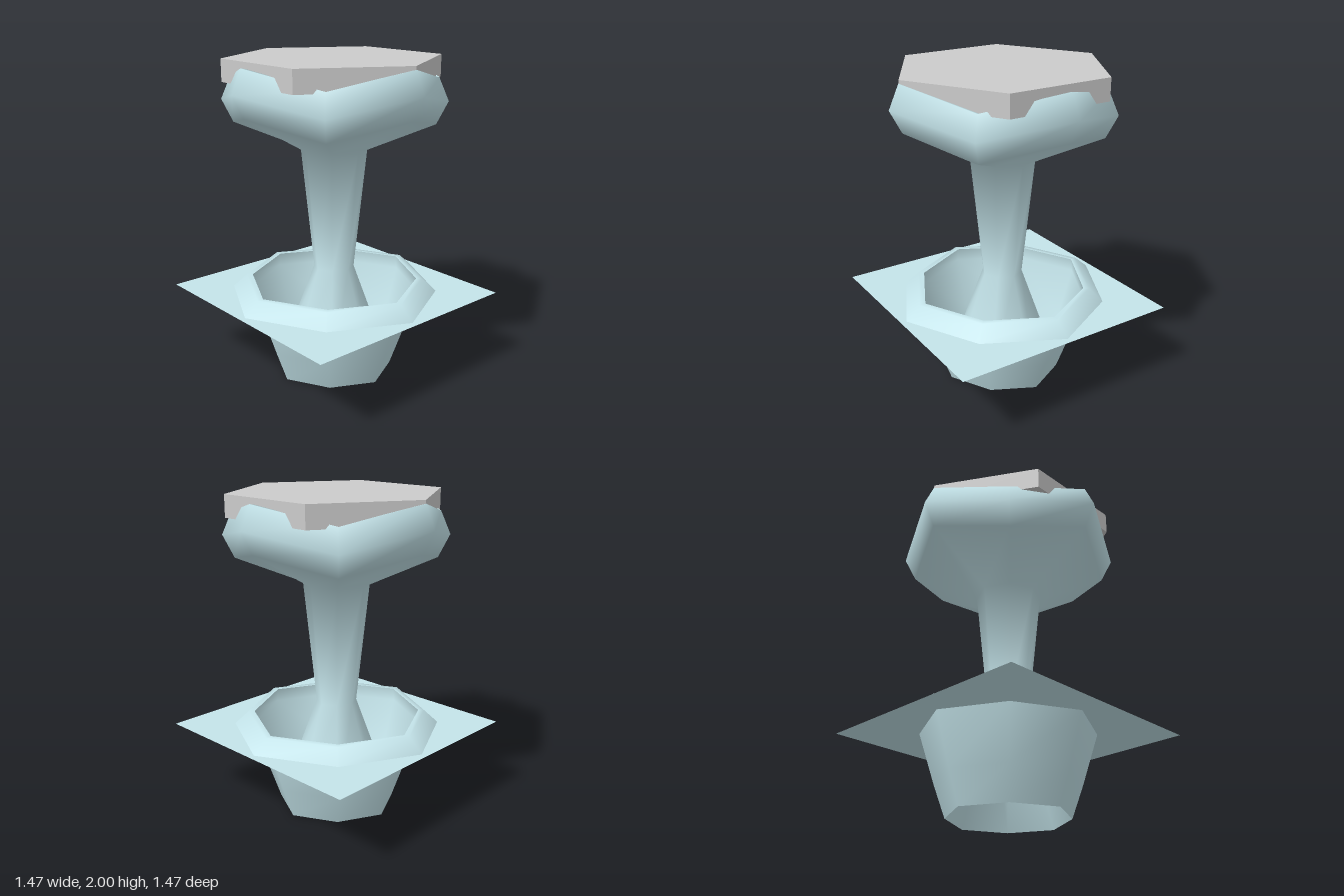
import * as THREE from 'three';

const SIDES = 8;
const DIAGONAL = 0.935; // the octagon is slightly pulled in at its diagonals

// Octagonal skin through rings of [radius, height, drop at the diagonals]
function loft(rings) {
  const pos = [], index = [];
  for (const [r, y, drop = 0] of rings) {
    for (let j = 0; j < SIDES; j++) {
      const a = (j / SIDES) * Math.PI * 2, diag = j % 2;
      const q = diag ? r * DIAGONAL : r;
      pos.push(q * Math.cos(a), diag ? y - drop : y, q * Math.sin(a));
    }
  }
  for (let i = 0; i < rings.length - 1; i++) {
    for (let j = 0; j < SIDES; j++) {
      const a = i * SIDES + j, b = i * SIDES + (j + 1) % SIDES;
      index.push(a, a + SIDES, b, b, a + SIDES, b + SIDES);
    }
  }
  const g = new THREE.BufferGeometry();
  g.setAttribute('position', new THREE.Float32BufferAttribute(pos, 3));
  g.setIndex(index);
  g.computeVertexNormals();
  return g;
}

export function createModel() {
  const group = new THREE.Group();
  const teal = new THREE.MeshStandardMaterial({ color: 0xc4e4ea, side: THREE.DoubleSide });
  const grey = new THREE.MeshStandardMaterial({ color: 0xcccccc, flatShading: true });
  const add = (name, geometry, material = teal) => {
    const mesh = new THREE.Mesh(geometry, material);
    mesh.name = name;
    group.add(mesh);
    return mesh;
  };

  // Flared stem, hollow at the foot, opening into the upper bowl
  add('stemAndBowl', loft([
    [0.395, 0], [0.135, 0.68], [0.22, 1.45],
    [0.66, 1.70, 0.1], [0.735, 1.84, 0.1], [0.67, 1.98, 0.1],
  ]));
  // Turned-in rim and floor of the upper bowl
  add('bowlInside', loft([
    [0.67, 1.98, 0.1], [0.64, 1.975, 0.1], [0.58, 1.85], [0.001, 1.85],
  ]));

  // Lower basin around the foot
  add('basin', loft([[0.395, 0], [0.47, 0.2], [0.575, 0.515], [0.565, 0.6]]));

  // Raised collar sloping down to the plate
  add('collar', loft([[0.70, 0.517], [0.605, 0.6], [0.565, 0.6]]));

  // Square plate with an octagonal opening for the basin
  const s = 0.735;
  const plate = new THREE.Shape([[-s, -s], [s, -s], [s, s], [-s, s]].map(p => new THREE.Vector2(...p)));
  const hole = [];
  for (let j = 0; j < SIDES; j++) {
    const a = -(j / SIDES) * Math.PI * 2, r = 0.575 * (j % 2 ? DIAGONAL : 1);
    hole.push(new THREE.Vector2(r * Math.cos(a), r * Math.sin(a)));
  }
  plate.holes.push(new THREE.Path(hole));
  add('plate', new THREE.ShapeGeometry(plate).rotateX(-Math.PI / 2).translate(0, 0.515, 0));

  // Hexagonal lid
  add('lid', new THREE.CylinderGeometry(0.667, 0.667, 0.135, 6), grey).position.y = 1.9325;

  return group;
}
